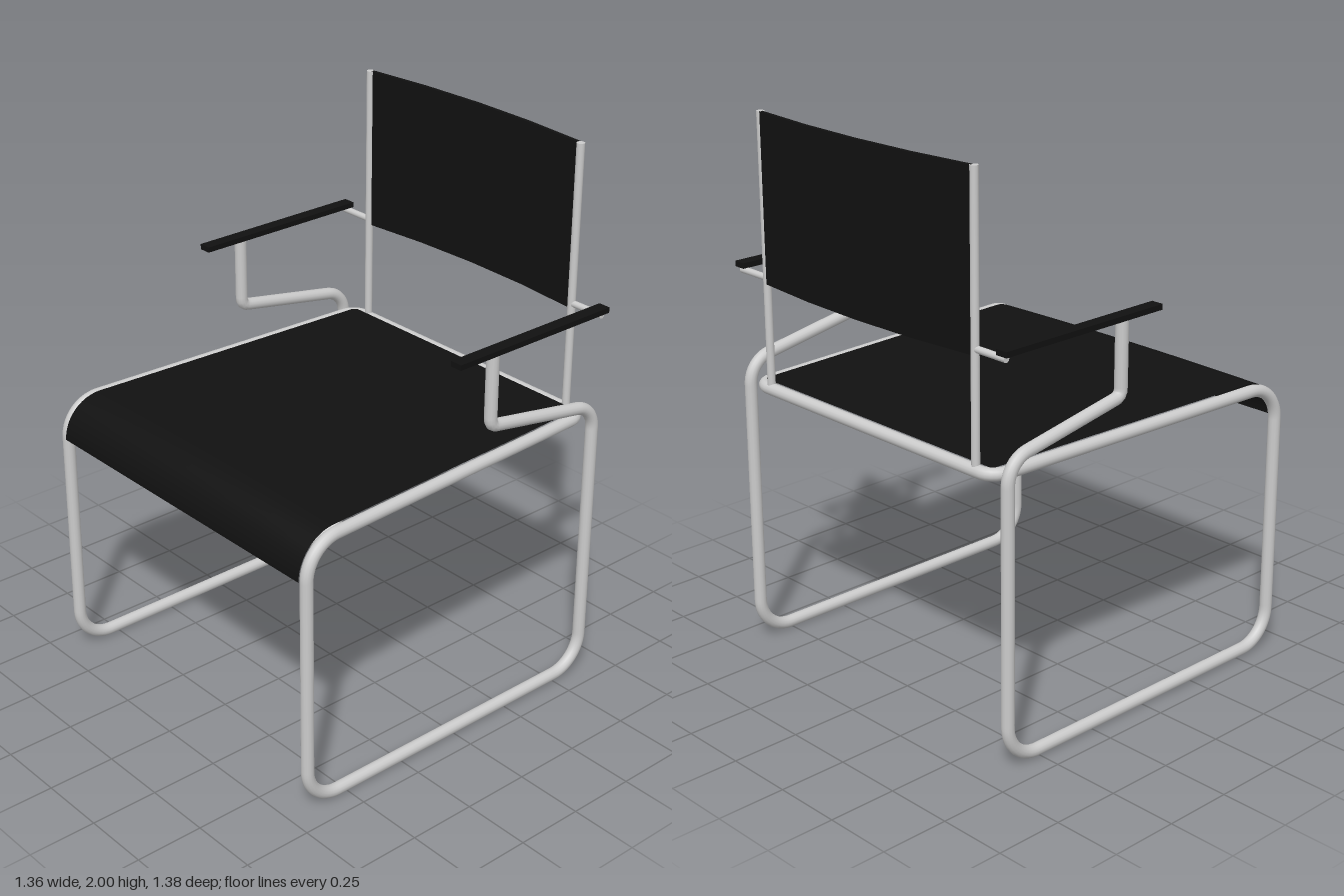
import * as THREE from 'three';
import { toCreasedNormals } from 'three/addons/utils/BufferGeometryUtils.js';
import { ParametricGeometry } from 'three/addons/geometries/ParametricGeometry.js';

const steel = new THREE.MeshStandardMaterial({ color: 0xcccccc });
const black = new THREE.MeshStandardMaterial({ color: 0x111111 });
const blackSheet = new THREE.MeshStandardMaterial({ color: 0x111111, side: THREE.DoubleSide });

const R = 0.0225;      // frame tube radius
const SEAT_Y = 1.015;  // seat rail centre height
const FRONT_Z = 0.667;
const BACK_Z = -0.648;
const BEND = 0.13;     // main bend radius

// Straight runs through corners [x, y, z, bendRadius], each corner rounded by an arc
function bentPath(corners) {
  const path = new THREE.CurvePath();
  const pts = corners.map(c => new THREE.Vector3(c[0], c[1], c[2]));
  let from = pts[0];
  for (let i = 1; i < pts.length - 1; i++) {
    const p = pts[i];
    const a = pts[i - 1].clone().sub(p).normalize();
    const b = pts[i + 1].clone().sub(p).normalize();
    const turn = Math.PI - a.angleTo(b);
    const cut = corners[i][3] * Math.tan(turn / 2);
    const handle = cut - corners[i][3] * (4 / 3) * Math.tan(turn / 4);
    const start = p.clone().addScaledVector(a, cut);
    const end = p.clone().addScaledVector(b, cut);
    path.add(new THREE.LineCurve3(from, start));
    path.add(new THREE.CubicBezierCurve3(start,
      p.clone().addScaledVector(a, handle), p.clone().addScaledVector(b, handle), end));
    from = end;
  }
  path.add(new THREE.LineCurve3(from, pts[pts.length - 1]));
  return path;
}

export function createModel() {
  const model = new THREE.Group();
  const add = (name, geometry, material, x = 0, y = 0, z = 0) => {
    const mesh = new THREE.Mesh(geometry, material);
    mesh.name = name;
    mesh.position.set(x, y, z);
    model.add(mesh);
    return mesh;
  };

  // One continuous bent tube: arm support, rear leg, floor runner, front leg, seat rail, back rail
  const half = s => [
    [s * 0.657, 1.435, -0.132, 0],
    [s * 0.657, 1.17, -0.132, 0.03],
    [s * 0.657, 1.08, -0.638, 0.1],
    [s * 0.657, R, -0.638, BEND],
    [s * 0.657, R, FRONT_Z, BEND],
    [s * 0.657, SEAT_Y, FRONT_Z, BEND],
    [s * 0.597, SEAT_Y, BACK_Z, 0.06],
  ];
  const framePath = bentPath([...half(1), ...half(-1).reverse()]);
  framePath.arcLengthDivisions = 2000;
  add('tubularFrame', new THREE.TubeGeometry(framePath, 800, R, 14, false), steel);

  // Seat sheet: wraps over the front bend, narrows to the back, slightly crowned
  const r = BEND + 0.021;
  const cz = FRONT_Z - BEND, cy = SEAT_Y - BEND, backEdge = -0.633;
  add('seat', new ParametricGeometry((u, v, out) => {
    let y, z, crown;
    if (v < 0.6) {
      const a = (v / 0.6) * Math.PI / 2;
      z = cz + r * Math.cos(a);
      y = cy + r * Math.sin(a);
      crown = 0.008 * Math.sin(a);
    } else {
      const t = (v - 0.6) / 0.4;
      z = cz + (backEdge - cz) * t;
      y = cy + r;
      crown = 0.008 * (1 - t);
    }
    const k = u * 2 - 1;
    const w = 0.611 + 0.0455 * z;
    out.set(k * w, y + crown * (1 - k * k), z);
  }, 12, 20), blackSheet);

  // Curved back panel
  const bow = [-1, -0.5, 0, 0.5, 1].map(k => [k * 0.515, 0.652 + 0.031 * (1 - k * k)]);
  const outline = [
    ...bow.map(([x, d]) => new THREE.Vector2(x, d - 0.007)),
    ...bow.reverse().map(([x, d]) => new THREE.Vector2(x, d + 0.007)),
  ];
  const panel = new THREE.ExtrudeGeometry(new THREE.Shape(outline), { depth: 0.6, bevelEnabled: false });
  panel.rotateX(-Math.PI / 2);
  add('backPanel', toCreasedNormals(panel, 0.6), black, 0, 1.4, 0);

  // Back posts, arm connectors and armrests on both sides
  for (const [side, s] of [['left', 1], ['right', -1]]) {
    add(side + 'BackPost', new THREE.CylinderGeometry(0.0145, 0.0145, 2 - SEAT_Y, 14),
      steel, s * 0.522, (2 + SEAT_Y) / 2, BACK_Z);
    add(side + 'ArmConnector', new THREE.CylinderGeometry(0.012, 0.012, 0.14, 12),
      steel, s * 0.592, 1.42, BACK_Z).rotation.z = Math.PI / 2;
    add(side + 'Armrest', new THREE.BoxGeometry(0.046, 0.02, 0.7), black, s * 0.656, 1.441, -0.315);
  }
  return model;
}
